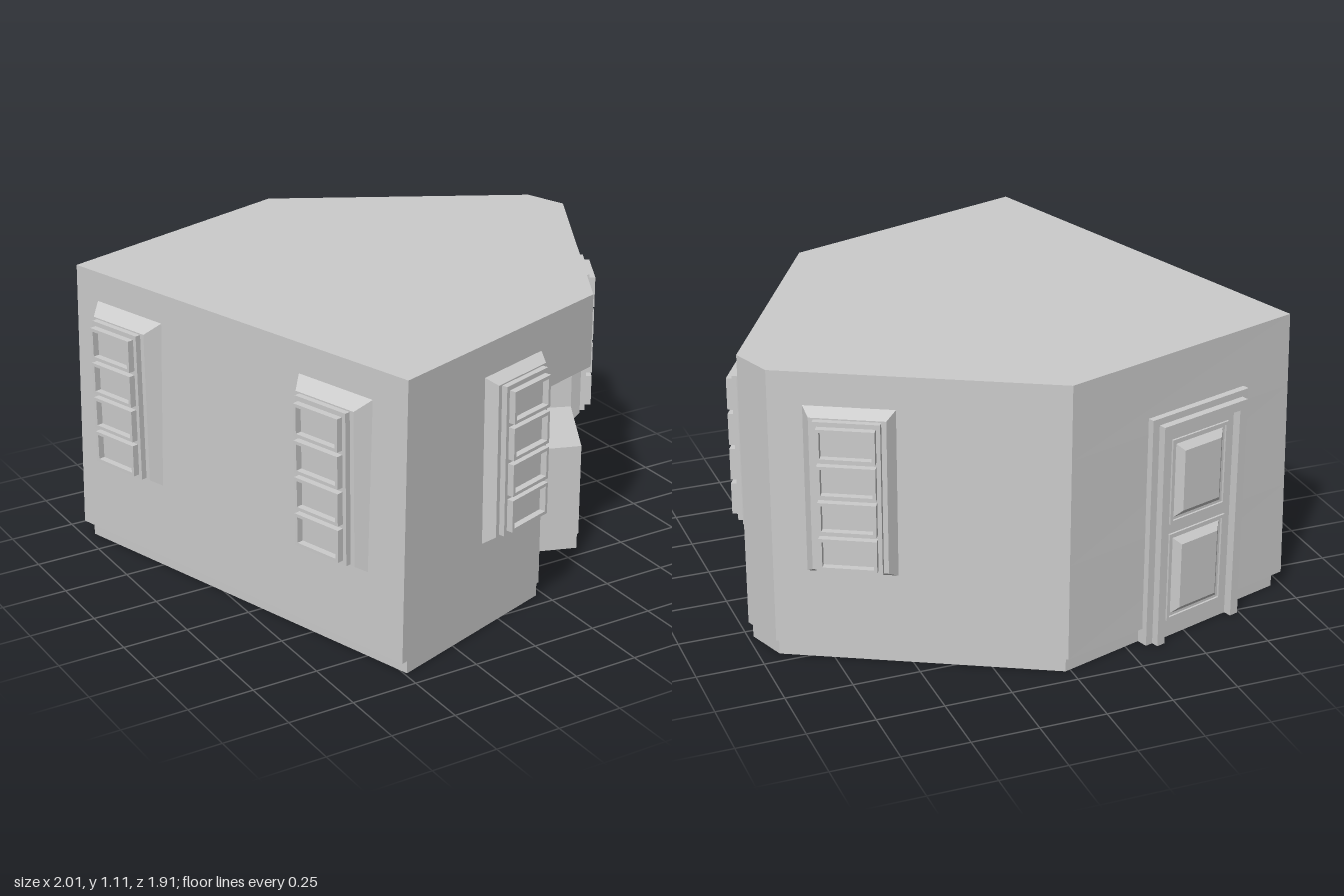
import * as THREE from 'three';

const material = new THREE.MeshStandardMaterial({ color: 0xcccccc, flatShading: true });

function add(parent, name, geometry, x = 0, y = 0, z = 0) {
  const mesh = new THREE.Mesh(geometry, material);
  mesh.name = name;
  mesh.position.set(x, y, z);
  parent.add(mesh);
  return mesh;
}

function fromTriangles(points) {
  const geometry = new THREE.BufferGeometry().setFromPoints(points);
  geometry.computeVertexNormals();
  return geometry;
}

// Wall band between two plan outlines of [x, z] corners
function band(low, y0, high, y1) {
  const out = [];
  low.forEach((p, i) => {
    const j = (i + 1) % low.length;
    const a = new THREE.Vector3(p[0], y0, p[1]);
    const b = new THREE.Vector3(low[j][0], y0, low[j][1]);
    const c = new THREE.Vector3(high[j][0], y1, high[j][1]);
    const d = new THREE.Vector3(high[i][0], y1, high[i][1]);
    out.push(a, b, c, a, c, d);
  });
  return fromTriangles(out);
}

// Horizontal surface facing up or down
function flat(plan, y, up) {
  const contour = plan.map(p => new THREE.Vector2(p[0], p[1]));
  const out = [];
  for (const tri of THREE.ShapeUtils.triangulateShape(contour, [])) {
    const [a, b, c] = tri.map(i => new THREE.Vector3(plan[i][0], y, plan[i][1]));
    const facesUp = (b.z - a.z) * (c.x - a.x) - (b.x - a.x) * (c.z - a.z) > 0;
    out.push(...(facesUp === up ? [a, b, c] : [a, c, b]));
  }
  return fromTriangles(out);
}

// Block from z0 to z1 whose front face shrinks by a bevel on every side
function bevelBlock(w, h, z0, z1, bevel) {
  const geometry = new THREE.BoxGeometry(w, h, z1 - z0);
  const pos = geometry.attributes.position;
  for (let i = 0; i < pos.count; i++) {
    if (pos.getZ(i) > 0) {
      pos.setX(i, pos.getX(i) - Math.sign(pos.getX(i)) * bevel);
      pos.setY(i, pos.getY(i) - Math.sign(pos.getY(i)) * bevel);
    }
  }
  geometry.translate(0, 0, (z0 + z1) / 2);
  geometry.computeVertexNormals();
  return geometry;
}

// Rectangular rim with an opening
function rim(w, h, t, z0, z1) {
  const shape = new THREE.Shape();
  shape.moveTo(-w / 2, -h / 2).lineTo(w / 2, -h / 2).lineTo(w / 2, h / 2).lineTo(-w / 2, h / 2);
  const hole = new THREE.Path();
  const x = w / 2 - t, y = h / 2 - t;
  hole.moveTo(-x, -y).lineTo(-x, y).lineTo(x, y).lineTo(x, -y);
  shape.holes.push(hole);
  return new THREE.ExtrudeGeometry(shape, { depth: z1 - z0, bevelEnabled: false }).translate(0, 0, z0);
}

// Doorway surround: two jambs and a head
function surround(w, h, t, z0, z1) {
  const a = w / 2, b = a - t;
  const shape = new THREE.Shape();
  shape.moveTo(-a, 0).lineTo(-b, 0).lineTo(-b, h - t).lineTo(b, h - t);
  shape.lineTo(b, 0).lineTo(a, 0).lineTo(a, h).lineTo(-a, h);
  return new THREE.ExtrudeGeometry(shape, { depth: z1 - z0, bevelEnabled: false }).translate(0, 0, z0);
}

function wallGroup(root, name, x, z, nx, nz) {
  const group = new THREE.Group();
  group.name = name;
  group.position.set(x, 0, z);
  group.rotation.y = Math.atan2(nx, nz);
  root.add(group);
  return group;
}

function addWindow(root, x, z, nx, nz) {
  const group = wallGroup(root, 'window', x, z, nx, nz);
  add(group, 'windowFrame', bevelBlock(0.35, 0.66, -0.02, 0.04, 0.04), 0, 0.67);
  add(group, 'windowSash', bevelBlock(0.235, 0.57, 0.03, 0.062, 0), 0, 0.67);
  for (let i = 0; i < 4; i++) {
    add(group, 'paneRim', rim(0.205, 0.122, 0.012, 0.055, 0.087), 0, 0.463 + i * 0.138);
  }
}

export function createModel() {
  const root = new THREE.Group();
  root.name = 'cornerBuilding';

  // Plan outlines; the side wall at -x leans inwards with height
  const alcoveMouth = [[0.22, 0.701], [0.222, 0.663]];
  const lowCut = [...alcoveMouth, [0.38, 0.38], [0.58, 0.451]];
  const highCut = [...alcoveMouth, [0.57, 0.04], [0.765, 0.123]];
  const corner = [[0.49, 0.61]];
  const outline = (y, cut) => {
    const t = (y - 0.06) / 1.05;
    return [
      [-0.525 + 0.025 * t, 0.953 - 0.008 * t], ...cut,
      [0.995, -0.29], [0.94, -0.455], [0.02, -0.957],
      [-0.99 + 0.025 * t, -0.64],
    ];
  };

  // Inset plinth
  const plinth = [[-0.49, 0.927], [0.22, 0.688], ...lowCut.slice(1, 3), [0.575, 0.449],
    [0.98, -0.293], [0.927, -0.447], [0.02, -0.935], [-0.957, -0.627]];
  add(root, 'plinth', band(plinth, 0, plinth, 0.06));
  add(root, 'plinthUnderside', flat(plinth, 0, false));
  add(root, 'wallLedge', flat(outline(0.06, lowCut), 0.06, false));

  // Walls in three bands, with the stepped entrance alcove cut out of the corner
  for (const [y0, y1, cut] of [[0.06, 0.43, lowCut], [0.43, 0.83, highCut], [0.83, 1.11, corner]]) {
    add(root, 'wall', band(outline(y0, cut), y0, outline(y1, cut), y1));
  }
  add(root, 'roof', flat(outline(1.11, corner), 1.11, true));
  add(root, 'alcoveShelf', flat([...lowCut.slice(2), highCut[3], highCut[2]], 0.43, true));
  add(root, 'alcoveCeiling', flat([alcoveMouth[0], corner[0], highCut[3], highCut[2], alcoveMouth[1]], 0.83, false));

  // Small knobs on the alcove wall
  for (const [x, z] of [[0.262, 0.59], [0.469, 0.222], [0.491, 0.182]]) {
    const knob = add(root, 'knob', new THREE.BoxGeometry(0.012, 0.012, 0.016), x, 0.59, z);
    knob.rotation.y = Math.atan2(0.87, 0.49);
  }

  // Windows: front, +x side, back and two on the -x side
  addWindow(root, 0.045, 0.761, 0.32, 0.947);
  addWindow(root, 0.856, -0.036, 0.872, 0.49);
  addWindow(root, 0.69, -0.592, 0.479, -0.878);
  for (const z of [-0.36, 0.635]) {
    addWindow(root, -0.984 + 0.467 * (z + 0.64) / 1.59, z, -0.96, 0.282);
  }

  // Back door with stepped surround and two raised panels
  const door = wallGroup(root, 'door', -0.535, -0.783, -0.3, -0.954);
  add(door, 'outerSurround', surround(0.46, 0.89, 0.06, -0.03, 0.022));
  add(door, 'innerSurround', surround(0.4, 0.865, 0.035, -0.03, 0.05));
  add(door, 'doorLeaf', bevelBlock(0.34, 0.84, -0.03, 0.018, 0), 0, 0.42);
  for (const [y, h] of [[0.245, 0.35], [0.625, 0.33]]) {
    add(door, 'panelRim', rim(0.27, h, 0.012, 0.01, 0.026), 0, y);
    add(door, 'raisedPanel', bevelBlock(0.245, h - 0.025, 0.01, 0.04, 0.035), 0, y);
  }

  return root;
}
